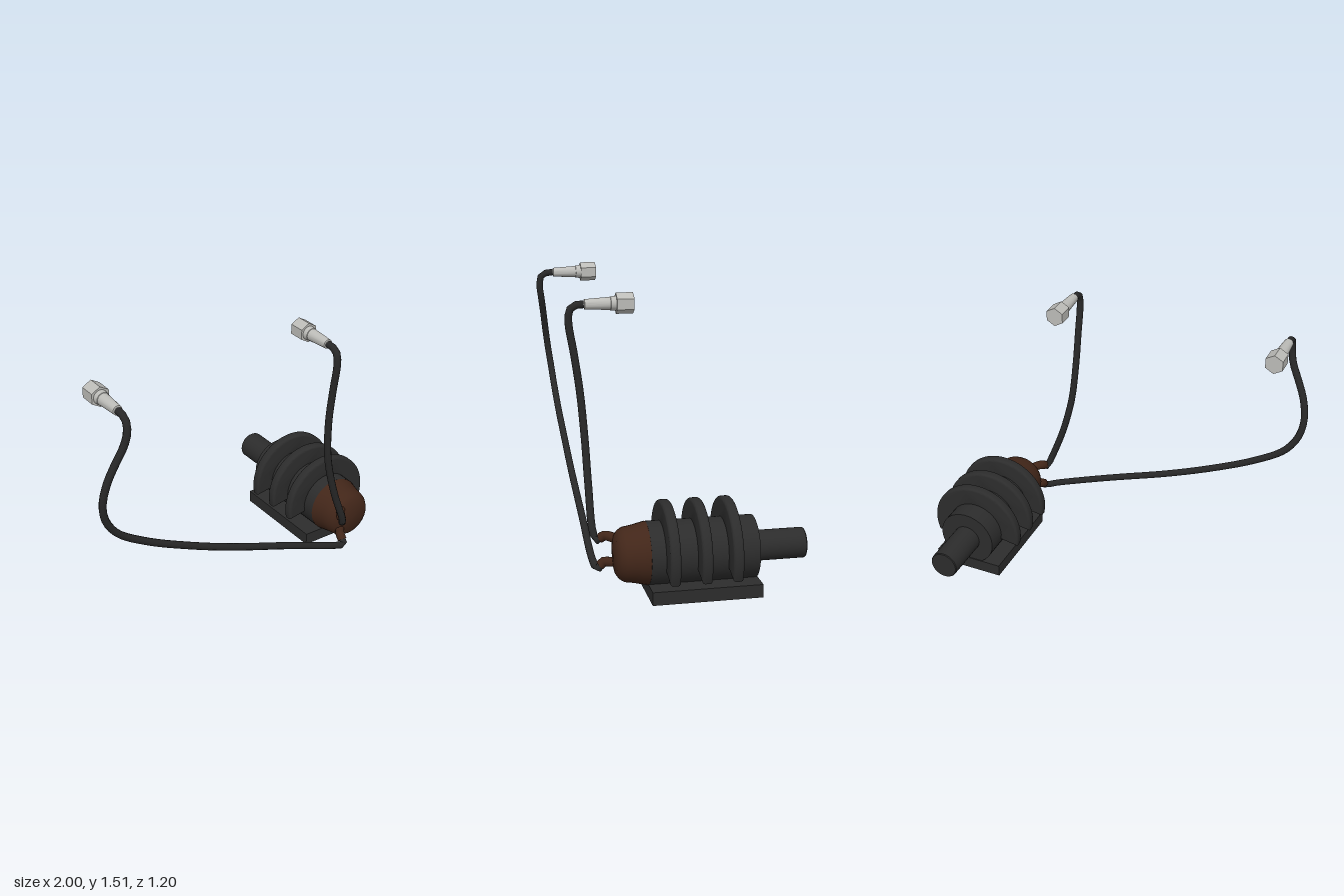
import * as THREE from 'three';
import { toCreasedNormals } from 'three/addons/utils/BufferGeometryUtils.js';

const mat = (name, color) => {
  const m = new THREE.MeshStandardMaterial({ color });
  m.name = name;
  return m;
};

export function createModel() {
  const group = new THREE.Group();
  const charcoal = mat('charcoal', 0x2c2c2c);
  const rubber = mat('black rubber', 0x282828);
  const brown = mat('dark brown', 0x422619);
  const silver = mat('silver', 0xbcbcb8);
  const CX = 0.73, CY = 0.21;

  const add = (name, geo, material, x = 0, y = 0, z = 0) => {
    const m = new THREE.Mesh(geo, material);
    m.name = name;
    m.position.set(x, y, z);
    group.add(m);
    return m;
  };
  // Solid of revolution along z from [radius, z] pairs
  const turned = (pts, sides = 32, crease = 0.45) => toCreasedNormals(
    new THREE.LatheGeometry(pts.map(p => new THREE.Vector2(...p)), sides).rotateX(Math.PI / 2), crease);
  const tube = (pts, segs, r) => new THREE.TubeGeometry(
    new THREE.CatmullRomCurve3(pts.map(p => new THREE.Vector3(...p))), segs, r, 10);

  // Base plate, body and rear shaft
  add('basePlate', new THREE.BoxGeometry(0.405, 0.07, 0.575), charcoal, CX, 0.035, -0.0425);
  add('body', turned([[0, -0.325], [0.165, -0.325], [0.165, 0.24], [0, 0.24]]), charcoal, CX, CY);
  add('rearShaft', turned([[0, -0.6], [0.076, -0.6], [0.08, -0.595], [0.08, -0.32]]), charcoal, CX, CY);

  // Three open cooling rings with rounded rims
  const bevel = 0.014;
  const a0 = -0.31, a1 = Math.PI * 1.055;
  const arc = new THREE.Shape();
  arc.absarc(0, 0, 0.27 - bevel, a0, a1, false);
  arc.absarc(0, 0, 0.15, a1, a0, true);
  arc.closePath();
  const ring = toCreasedNormals(new THREE.ExtrudeGeometry(arc, {
    depth: 0.055 - 2 * bevel, bevelEnabled: true, bevelThickness: bevel,
    bevelSize: bevel, bevelSegments: 3, curveSegments: 36,
  }).translate(0, 0, bevel - 0.0275), 0.6);
  [0.138, -0.025, -0.185].forEach((z, i) => add('coolingRing' + (i + 1), ring, charcoal, CX, CY, z));

  // Brown nose cap and its two outlets
  add('noseCap', turned([[0.165, 0.24], [0.156, 0.28], [0.148, 0.315], [0.141, 0.36],
    [0.125, 0.385], [0.1, 0.402], [0, 0.412]], 32, 0.7), brown, CX - 0.002, CY);
  add('upperOutlet', tube([[0.67, 0.27, 0.37], [0.64, 0.28, 0.41], [0.617, 0.28, 0.435], [0.608, 0.265, 0.46]], 8, 0.026), brown);
  add('lowerOutlet', tube([[0.67, 0.15, 0.37], [0.64, 0.142, 0.41], [0.622, 0.14, 0.44], [0.62, 0.12, 0.462]], 8, 0.026), brown);

  // Hoses
  add('upperHose', tube([[0.615, 0.275, 0.45], [0.6, 0.25, 0.475], [0.585, 0.29, 0.492], [0.5, 0.52, 0.5],
    [0.44, 0.76, 0.507], [0.417, 1, 0.525], [0.412, 1.2, 0.552], [0.41, 1.37, 0.578],
    [0.41, 1.43, 0.57], [0.41, 1.453, 0.535], [0.41, 1.455, 0.5]], 36, 0.02), rubber);
  add('lowerHose', tube([[0.62, 0.135, 0.45], [0.62, 0.1, 0.475], [0.55, 0.125, 0.49], [0.2, 0.262, 0.494],
    [-0.2, 0.41, 0.495], [-0.48, 0.53, 0.495], [-0.72, 0.65, 0.497], [-0.89, 0.765, 0.5],
    [-0.96, 0.87, 0.508], [-0.98, 0.98, 0.522], [-0.96, 1.1, 0.538], [-0.92, 1.2, 0.552],
    [-0.875, 1.3, 0.568], [-0.86, 1.38, 0.578], [-0.86, 1.435, 0.568], [-0.86, 1.453, 0.535],
    [-0.86, 1.455, 0.5]], 64, 0.02), rubber);

  // Silver fittings: tapered neck with a hexagonal nut
  const neck = turned([[0.04, 0.32], [0.036, 0.36], [0.034, 0.362], [0.026, 0.495], [0.018, 0.497], [0.018, 0.515]], 20);
  const nut = toCreasedNormals(
    new THREE.CylinderGeometry(0.055, 0.055, 0.09, 6).rotateX(Math.PI / 2), 0.3);
  [['right', -0.86], ['left', 0.41]].forEach(([side, x]) => {
    add(side + 'FittingNeck', neck, silver, x, 1.455, 0);
    add(side + 'FittingNut', nut, silver, x, 1.455, 0.287);
  });
  return group;
}
